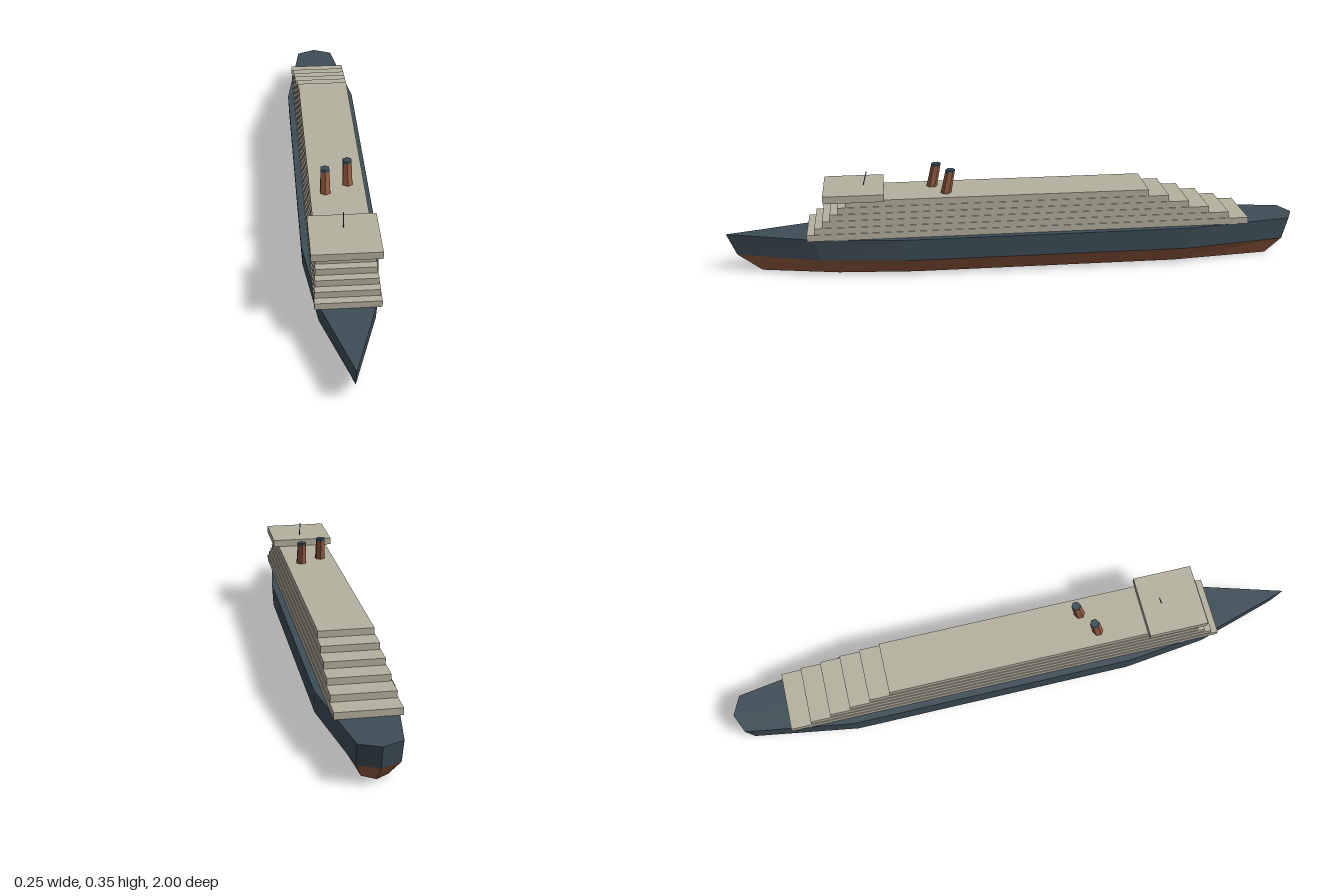
import * as THREE from 'three';

const mat = (name, color) => {
  const m = new THREE.MeshStandardMaterial({ color, flatShading: true });
  m.name = name;
  return m;
};

// Half outlines as [x, z] from bow to stern, mirrored into closed rings
function ring(half, y) {
  const left = half.map(([x, z]) => [x, y, z]);
  const right = half.slice(1, -1).reverse().map(([x, z]) => [-x, y, z]);
  return [...left, ...right];
}

// Side wall between two rings, optionally closed by a flat cap
function shell(lower, upper, cap) {
  const p = [], n = lower.length;
  for (let i = 0; i < n; i++) {
    const j = (i + 1) % n;
    p.push(...lower[i], ...lower[j], ...upper[j], ...lower[i], ...upper[j], ...upper[i]);
  }
  const lid = cap === 'top' ? upper : lower;
  for (let i = 1; i < n - 1; i++) {
    const [a, b] = cap === 'top' ? [i, i + 1] : [i + 1, i];
    p.push(...lid[0], ...lid[a], ...lid[b]);
  }
  const g = new THREE.BufferGeometry();
  g.setAttribute('position', new THREE.Float32BufferAttribute(p, 3));
  g.computeVertexNormals();
  return g;
}

export function createModel() {
  const ship = new THREE.Group();
  ship.name = 'ship';
  const navy = mat('navy hull', 0x3d4d57);
  const rust = mat('rust red', 0x935a40);
  const cream = mat('cream', 0xb5b19f);

  const add = (name, geometry, material, parent = ship) => {
    const m = new THREE.Mesh(geometry, material);
    m.name = name;
    parent.add(m);
    return m;
  };

  // Hull
  const deck = ring([[0, 1], [0.09, 0.7], [0.126, 0.4], [0.126, -0.6], [0.067, -0.97], [0, -1]], 0.137);
  const water = ring([[0, 0.967], [0.088, 0.68], [0.123, 0.39], [0.123, -0.59], [0.065, -0.95], [0, -0.98]], 0.061);
  const keel = ring([[0, 0.885], [0.054, 0.62], [0.075, 0.355], [0.075, -0.555], [0.04, -0.9], [0, -0.927]], 0);
  add('upperHull', shell(water, deck, 'top'), navy);
  add('lowerHull', shell(keel, water, 'bottom'), rust);

  // Stepped decks
  const base = 0.137, step = 0.0225;
  for (let i = 0; i < 6; i++) {
    const front = 0.72 - i * 0.0266, back = -0.81 + i * 0.0714;
    const tier = add(`deck${i + 1}`, new THREE.BoxGeometry(2 * (0.103 - i * 0.0025), step, front - back), cream);
    tier.position.set(0, base + (i + 0.5) * step, (front + back) / 2);
  }

  // Bridge with overhanging wings
  add('bridge', new THREE.BoxGeometry(0.219, 0.025, 0.205), cream).position.set(0, 0.2845, 0.558);

  // Mast, raked aft
  const mast = add('mast', new THREE.BoxGeometry(0.003, 0.05, 0.003), navy);
  mast.position.set(0, 0.321, 0.519);
  mast.rotation.x = -0.25;

  // Funnels: tapered hexagons sheared aft, with dark caps
  const rake = new THREE.Matrix4().set(1, 0, 0, 0, 0, 1, 0, 0, 0, -0.2, 1, 0, 0, 0, 0, 1);
  const frustum = (top, bottom, y0, y1) =>
    new THREE.CylinderGeometry(top, bottom, y1 - y0, 6).translate(0, (y0 + y1) / 2, 0).applyMatrix4(rake);
  for (const [name, x, z] of [['rightFunnel', -0.04, 0.289], ['leftFunnel', 0.036, 0.244]]) {
    const funnel = new THREE.Group();
    funnel.name = name;
    funnel.position.set(x, 0.272, z);
    add('stack', frustum(0.0164, 0.0185, 0, 0.073), rust, funnel);
    add('cap', frustum(0.016, 0.0164, 0.073, 0.082), navy, funnel);
    ship.add(funnel);
  }
  return ship;
}
